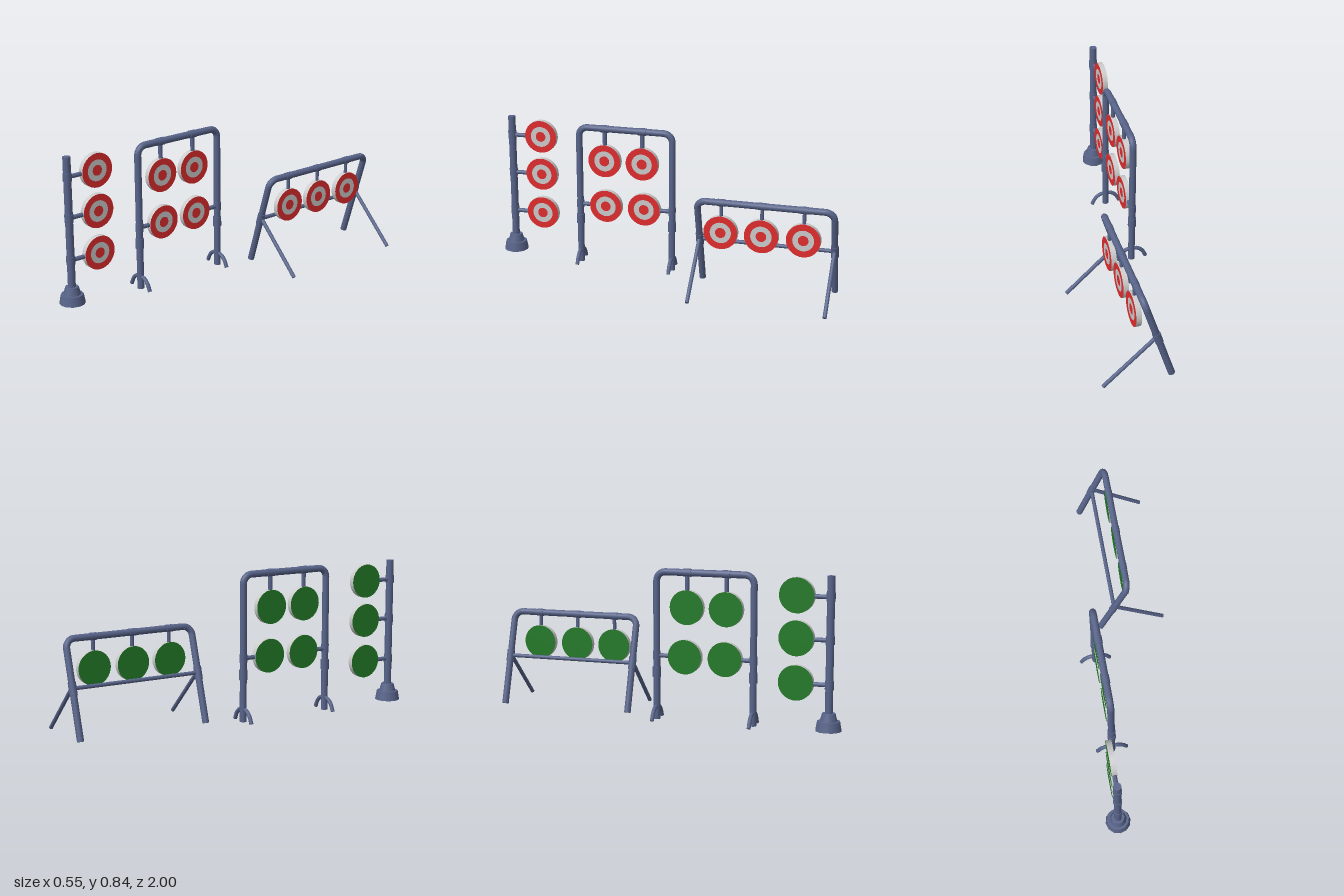
import * as THREE from 'three';

const mat = (color) => new THREE.MeshStandardMaterial({ color });
const V = (x, y, z) => new THREE.Vector3(x, y, z);

export function createModel() {
  const model = new THREE.Group();
  const steel = mat(0x58648a), red = mat(0xe02c2e), grey = mat(0xcccccc), green = mat(0x237a28);

  const group = (name) => {
    const g = new THREE.Group();
    g.name = name;
    model.add(g);
    return g;
  };
  const add = (parent, name, geo, material) => {
    const m = new THREE.Mesh(geo, material);
    m.name = name;
    parent.add(m);
    return m;
  };

  // Capped round bar between two points
  const rod = (parent, name, a, b, r, sides = 12) => {
    const d = b.clone().sub(a);
    const m = add(parent, name, new THREE.CylinderGeometry(r, r, d.length(), sides), steel);
    m.position.copy(a).add(b).multiplyScalar(0.5);
    m.quaternion.setFromUnitVectors(V(0, 1, 0), d.normalize());
    return m;
  };
  // Short sleeve centred on a point, along a direction
  const collar = (parent, c, dir, length, r) => {
    const h = dir.clone().setLength(length / 2);
    return rod(parent, 'collar', c.clone().sub(h), c.clone().add(h), r);
  };

  // Round target: bullseye towards +x, plain green back
  const target = (parent, x, y, z) => {
    const R = 0.094, t = 0.03, g = new THREE.Group();
    g.name = 'target';
    g.position.set(x, y, z);
    g.rotation.y = Math.PI / 2;
    parent.add(g);
    add(g, 'targetRim', new THREE.CylinderGeometry(R, R, t, 32, 1, true).rotateX(Math.PI / 2), grey);
    [[0.059, R, red], [0.029, 0.059, grey], [0, 0.029, red]].forEach(([a, b, m]) => {
      const geo = a ? new THREE.RingGeometry(a, b, 32) : new THREE.CircleGeometry(b, 32);
      add(g, 'targetRing', geo, m).position.z = t / 2;
    });
    add(g, 'targetBack', new THREE.CircleGeometry(R, 32).rotateY(Math.PI), green).position.z = -t / 2;
  };

  // Two legs and a top bar joined by rounded corners
  const archFrame = (parent, foot, top, z0, z1, r) => {
    const bend = 0.05, up = V(top[0] - foot[0], top[1] - foot[1], 0).normalize();
    const mid = (z0 + z1) / 2;
    [z0, z1].forEach((z) => {
      const corner = V(top[0], top[1], z);
      const below = corner.clone().addScaledVector(up, -bend);
      const inner = corner.clone().setZ(z + Math.sign(mid - z) * bend);
      rod(parent, 'leg', V(foot[0], foot[1], z), below, r);
      const k = 0.45;
      const curve = new THREE.CubicBezierCurve3(below, below.clone().lerp(corner, 1 - k),
        inner.clone().lerp(corner, 1 - k), inner);
      add(parent, 'corner', new THREE.TubeGeometry(curve, 8, r, 12), steel);
    });
    rod(parent, 'topBar', V(top[0], top[1], z0 - bend), V(top[0], top[1], z1 + bend), r);
  };

  // Single pole with a stepped base and three side targets
  const pole = group('poleStand');
  const px = -0.207, pz = 0.929;
  rod(pole, 'pole', V(px, 0.1, pz), V(px, 0.838, pz), 0.021);
  [[0.061, 0.07, 0.027, 0.078], [0.036, 0.047, 0.078, 0.12]].forEach(([rt, rb, y0, y1]) => {
    const geo = new THREE.CylinderGeometry(rt, rb, y1 - y0, 12);
    add(pole, 'base', geo, steel).position.set(px, (y0 + y1) / 2, pz);
  });
  [0.731, 0.506, 0.271].forEach((y) => {
    collar(pole, V(px, y - 0.003, pz), V(0, 1, 0), 0.045, 0.024);
    rod(pole, 'arm', V(px, y - 0.003, pz), V(px, y - 0.003, 0.835), 0.012);
    target(pole, px, y, 0.752);
  });

  // Tall upright frame with four targets
  const tall = group('tallFrame');
  const tx = -0.166, tz = [0.51, -0.033];
  archFrame(tall, [tx, 0.01], [tx, 0.818], tz[0], tz[1], 0.019);
  [0.359, 0.14].forEach((z) => {
    collar(tall, V(tx, 0.818, z), V(0, 0, 1), 0.045, 0.0215);
    rod(tall, 'hanger', V(tx, 0.818, z), V(tx, 0.715, z), 0.012);
    target(tall, tx, 0.631, z);
  });
  [0.354, 0.129].forEach((z, i) => {
    const dir = i ? -1 : 1;
    collar(tall, V(tx, 0.362, tz[i]), V(0, 1, 0), 0.045, 0.0215);
    rod(tall, 'arm', V(tx, 0.362, tz[i]), V(tx, 0.362, z + dir * 0.085), 0.012);
    target(tall, tx, 0.362, z);
    collar(tall, V(tx, 0.271, tz[i]), V(0, 1, 0), 0.055, 0.0235);
    // Curved feet on both sides of each leg
    [-1, 1].forEach((s) => {
      const pts = [[0, 0.079], [0.032, 0.076], [0.062, 0.053], [0.083, 0.013]]
        .map(([x, y]) => V(tx + s * x, y, tz[i]));
      add(tall, 'foot', new THREE.TubeGeometry(new THREE.CatmullRomCurve3(pts), 12, 0.011, 10), steel);
      const tip = pts[3], back = tip.clone().add(V(-s * 0.004, 0.008, 0));
      rod(tall, 'footTip', back, tip, 0.011, 10);
    });
  });

  // Low leaning frame with rear struts and three hanging targets
  const low = group('leaningFrame');
  const lean = V(0.158, 0.512, 0), lz = [-0.231, -0.979];
  archFrame(low, [-0.1, 0.014], [0.058, 0.526], lz[0], lz[1], 0.0185);
  lz.forEach((z) => {
    collar(low, V(-0.019, 0.278, z), lean, 0.07, 0.0215);
    rod(low, 'strut', V(-0.015, 0.287, z), V(0.267, 0.011, z), 0.011);
  });
  rod(low, 'crossbar', V(-0.019, 0.28, lz[0]), V(-0.019, 0.28, lz[1]), 0.011);
  [-0.367, -0.591, -0.82].forEach((z) => {
    collar(low, V(0.058, 0.526, z), V(0, 0, 1), 0.04, 0.0205);
    rod(low, 'hanger', V(0.06, 0.526, z), V(0.06, 0.445, z), 0.01);
    target(low, 0.06, 0.358, z);
  });

  return model;
}
